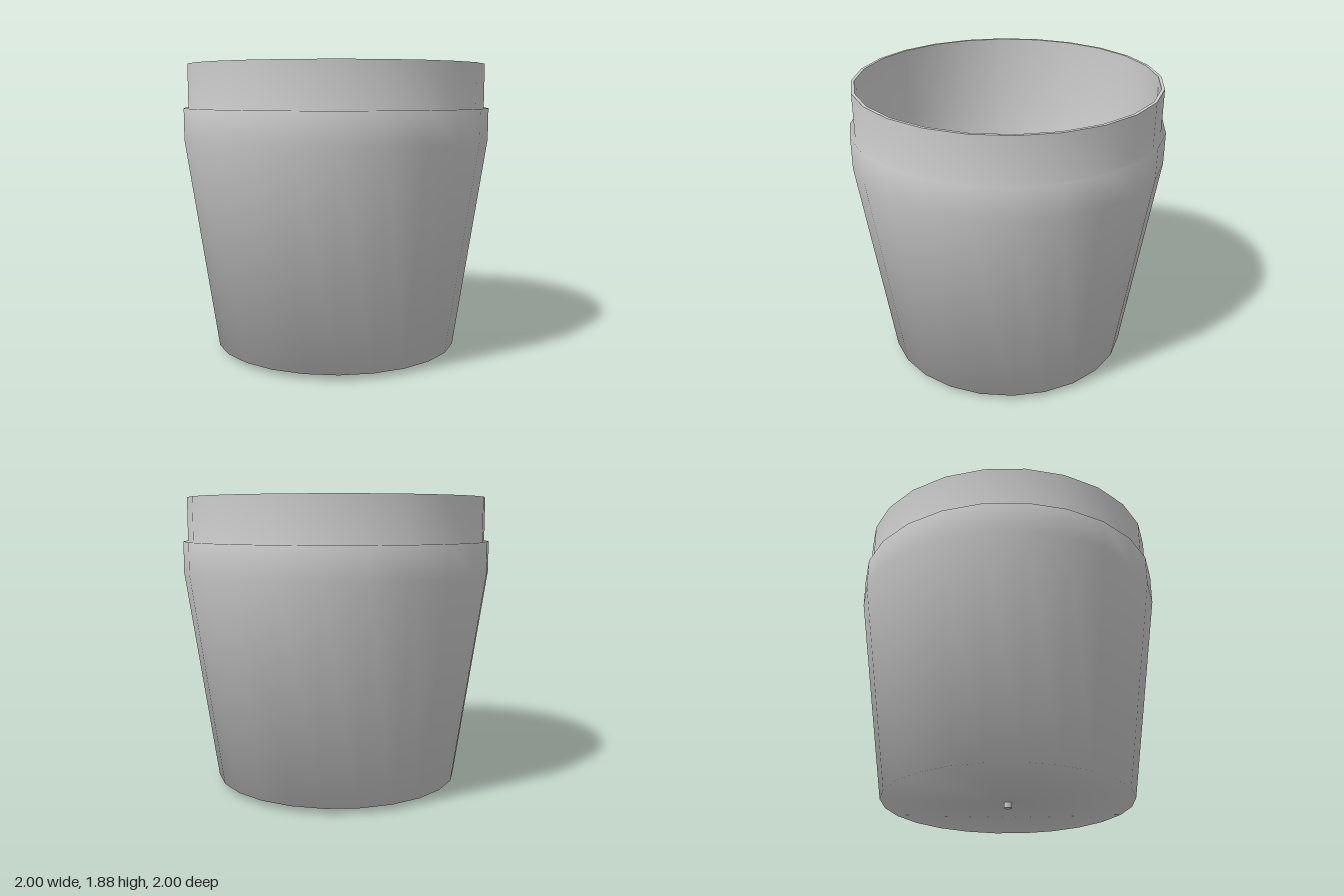
import * as THREE from 'three';

const SIDES = 24;

export function createModel() {
  const group = new THREE.Group();
  const material = new THREE.MeshStandardMaterial({ color: 0xcccccc });

  function add(name, geometry, y = 0) {
    const mesh = new THREE.Mesh(geometry, material);
    mesh.name = name;
    mesh.position.y = y;
    group.add(mesh);
  }

  function lathe(...points) {
    return new THREE.LatheGeometry(points.map(([r, y]) => new THREE.Vector2(r, y)), SIDES);
  }

  // Tapered outer wall with underside, collar, stepped shoulder and neck
  add('outerShell', lathe([0, 0.035], [0.8, 0.035], [1, 1.4], [1, 1.6], [0.97, 1.6], [0.97, 1.88]));

  // Flat rim joining the two walls
  add('rim', lathe([0.97, 1.88], [0.95, 1.88]));

  // Inner wall and floor of the hollow
  add('innerShell', lathe([0.95, 1.88], [0.95, 1.4], [0.78, 0.07], [0, 0.07]));

  // Small peg under the centre of the base
  add('basePeg', new THREE.CylinderGeometry(0.025, 0.025, 0.04, 12), 0.02);

  return group;
}
